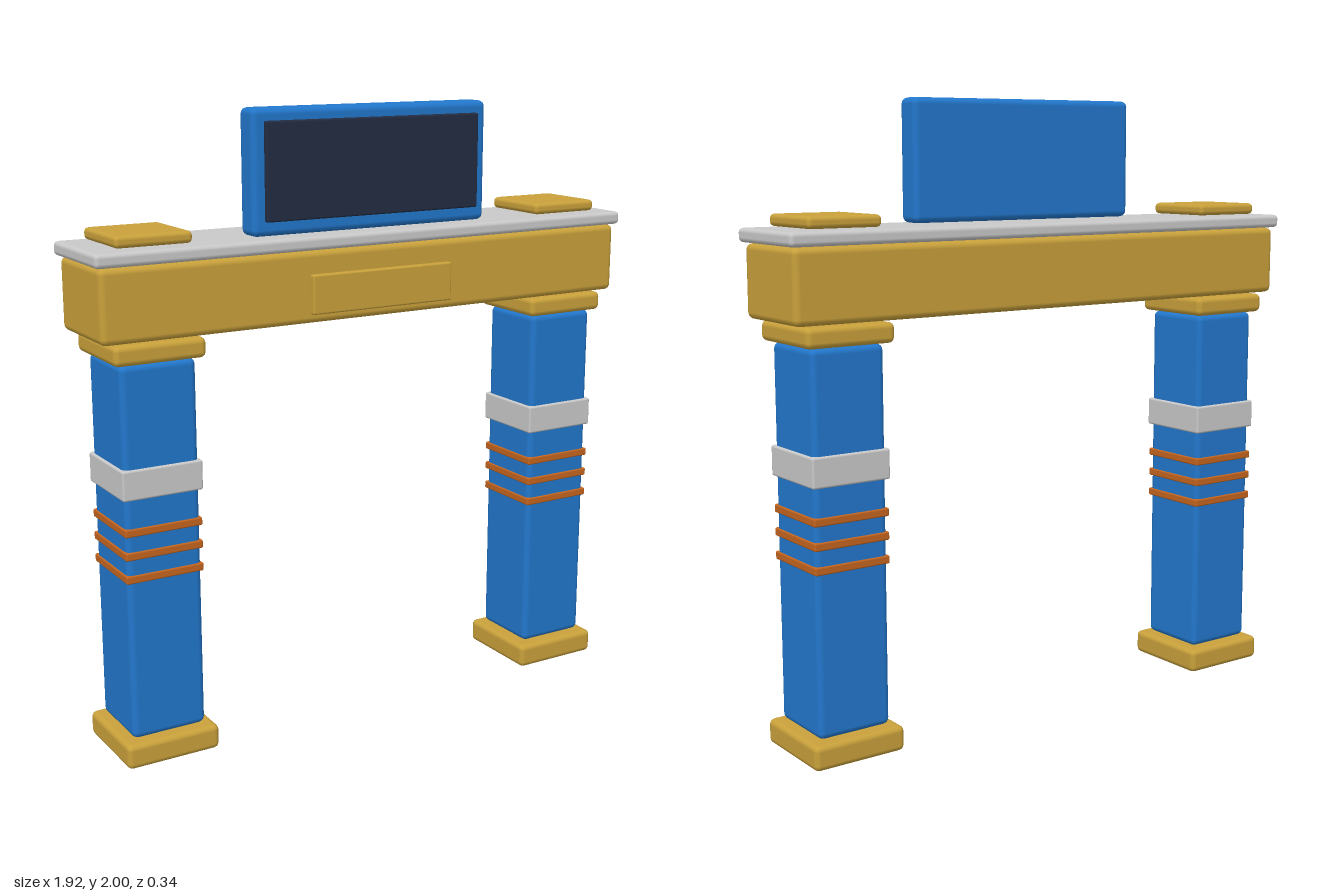
import * as THREE from 'three';
import { RoundedBoxGeometry } from 'three/addons/geometries/RoundedBoxGeometry.js';

const material = (name, color) => {
  const m = new THREE.MeshStandardMaterial({ color });
  m.name = name;
  return m;
};

export function createModel() {
  const blue = material('blue', 0x2277cc);
  const gold = material('gold', 0xc9a13b);
  const grey = material('light grey', 0xc9c9c9);
  const orange = material('orange', 0xc4651f);
  const navy = material('dark navy', 0x222c41);

  const model = new THREE.Group();
  model.name = 'gateway';
  const midZ = -0.004;

  // Box with softened edges, given by its width, depth and bottom and top heights
  function block(parent, name, mat, w, d, y0, y1, bevel, z = midZ) {
    const mesh = new THREE.Mesh(new RoundedBoxGeometry(w, y1 - y0, d, 2, bevel), mat);
    mesh.name = name;
    mesh.position.set(0, (y0 + y1) / 2, z);
    parent.add(mesh);
  }

  // Two pillars, each with foot, shaft, bands, capital and a pad above the beam
  for (const side of [-1, 1]) {
    const pillar = new THREE.Group();
    pillar.name = side > 0 ? 'leftPillar' : 'rightPillar';
    pillar.position.x = side * 0.755;
    block(pillar, 'foot', gold, 0.313, 0.313, 0, 0.08, 0.018);
    block(pillar, 'shaft', blue, 0.247, 0.247, 0.083, 1.272, 0.02);
    block(pillar, 'wideBand', grey, 0.264, 0.264, 0.86, 0.955, 0.007);
    for (const y of [0.61, 0.684, 0.758]) {
      block(pillar, 'ring', orange, 0.256, 0.256, y - 0.013, y + 0.013, 0.005);
    }
    block(pillar, 'capital', gold, 0.297, 0.297, 1.274, 1.337, 0.018);
    block(pillar, 'topPad', gold, 0.247, 0.247, 1.617, 1.654, 0.014);
    model.add(pillar);
  }

  // Beam, front plaque and covering slab
  block(model, 'beam', gold, 1.888, 0.313, 1.342, 1.568, 0.02);
  block(model, 'plaque', gold, 0.512, 0.04, 1.372, 1.496, 0.006, 0.152);
  block(model, 'slab', grey, 1.918, 0.337, 1.57, 1.613, 0.014);

  // Upright sign with a dark panel on its front
  block(model, 'signFrame', blue, 0.852, 0.088, 1.615, 2, 0.02, 0.063);
  block(model, 'signPanel', navy, 0.772, 0.03, 1.66, 1.962, 0.006, 0.109);

  return model;
}
